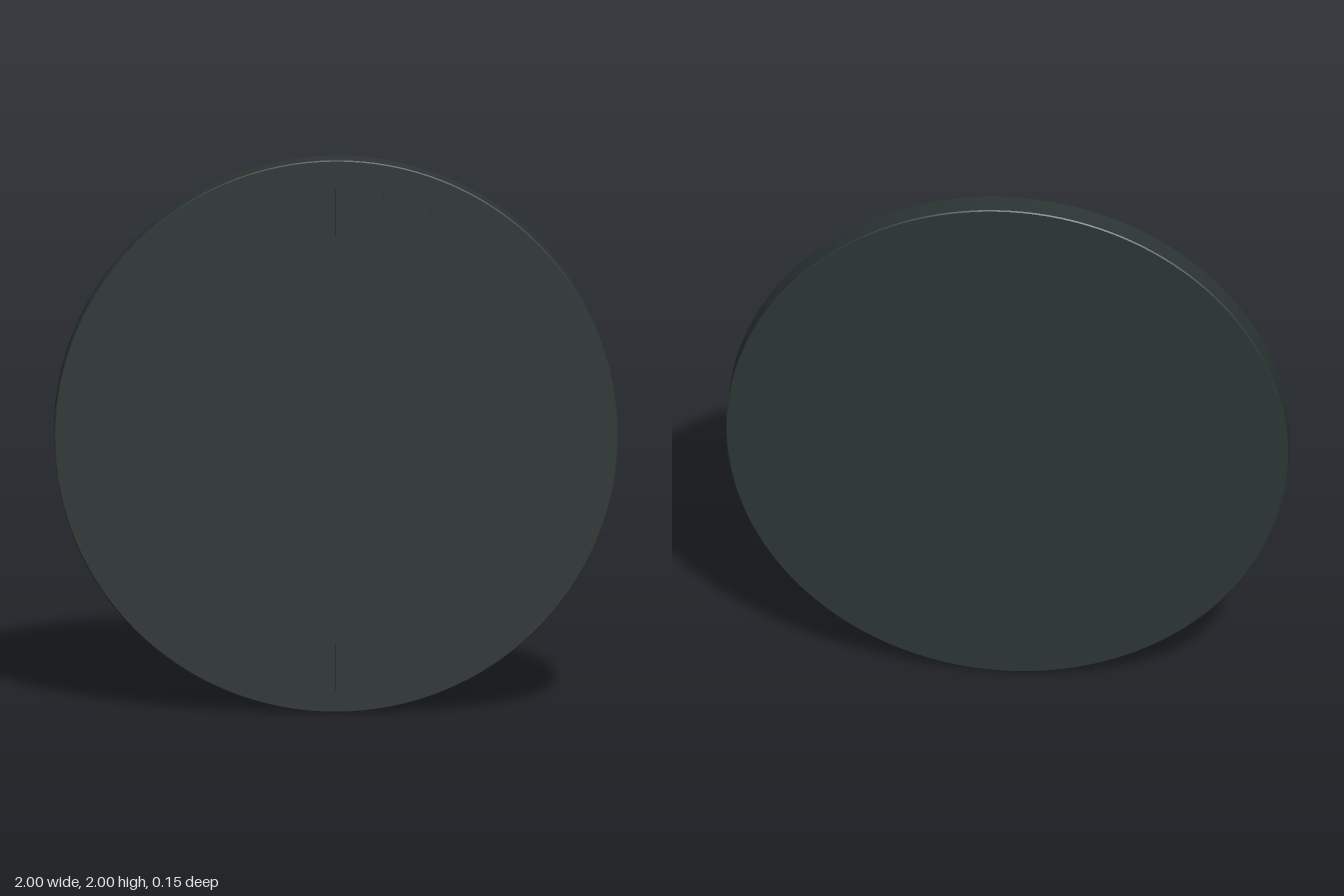
import * as THREE from 'three';

export function createModel() {
  const model = new THREE.Group();
  model.name = 'dial';
  const slate = new THREE.MeshStandardMaterial({ color: 0x2c3635 });
  slate.name = 'dark slate';

  // Round plate, axis along z, with a very fine edge bevel
  const back = -0.075, front = 0.016, bevel = 0.004;
  const discGeometry = new THREE.CylinderGeometry(1, 1, front - back - 2 * bevel, 128, 1, true);
  discGeometry.rotateX(Math.PI / 2);
  const disc = new THREE.Group();
  disc.name = 'disc';
  disc.position.set(0, 1, (front + back) / 2);
  const rim = new THREE.Mesh(discGeometry, slate);
  rim.name = 'rim';
  disc.add(rim);
  for (const side of [1, -1]) {
    const half = (front - back) / 2;
    const face = new THREE.Mesh(new THREE.CircleGeometry(1 - bevel, 128), slate);
    face.name = side > 0 ? 'frontFace' : 'backFace';
    face.position.z = side * half;
    if (side < 0) face.rotation.y = Math.PI;
    const edgeGeometry = new THREE.CylinderGeometry(1 - bevel, 1, bevel, 128, 1, true);
    edgeGeometry.rotateX(side * Math.PI / 2);
    const edge = new THREE.Mesh(edgeGeometry, slate);
    edge.name = side > 0 ? 'frontBevel' : 'backBevel';
    edge.position.z = side * (half - bevel / 2);
    disc.add(face, edge);
  }
  model.add(disc);

  // Thin bar floating in front of the plate
  function addBar(parent, name, x, y, z, length, width, depth, angle) {
    const bar = new THREE.Mesh(new THREE.BoxGeometry(length, width, depth), slate);
    bar.name = name;
    bar.position.set(x, y, z);
    bar.rotation.z = angle;
    parent.add(bar);
  }

  // Ring of 32 ticks, every fourth one long
  const ticks = new THREE.Group();
  ticks.name = 'ticks';
  const outer = 0.908;
  for (let i = 0; i < 32; i++) {
    const long = i % 4 === 0;
    const length = long ? 0.172 : 0.062;
    const angle = (i / 32) * Math.PI * 2;
    const r = outer - length / 2;
    addBar(ticks, long ? 'longTick' : 'shortTick', Math.cos(angle) * r, 1 + Math.sin(angle) * r,
      0.07, length, long ? 0.008 : 0.014, 0.008, angle);
  }
  model.add(ticks);

  // Scattered slanted dashes, all at 30 degrees
  const dashes = new THREE.Group();
  dashes.name = 'dashes';
  const centres = [
    [-0.035, 1.54], [0.013, 1.33], [-0.011, 1.215], [0.203, 1.3], [0.36, 1.125],
    [0.318, 1.037], [0.642, 1.12], [-0.053, 0.93], [-0.213, 0.585], [0.422, 0.66],
  ];
  for (const [x, y] of centres) {
    addBar(dashes, 'dash', x, y, 0.0725, 0.128, 0.006, 0.005, Math.PI / 6);
  }
  model.add(dashes);

  return model;
}
